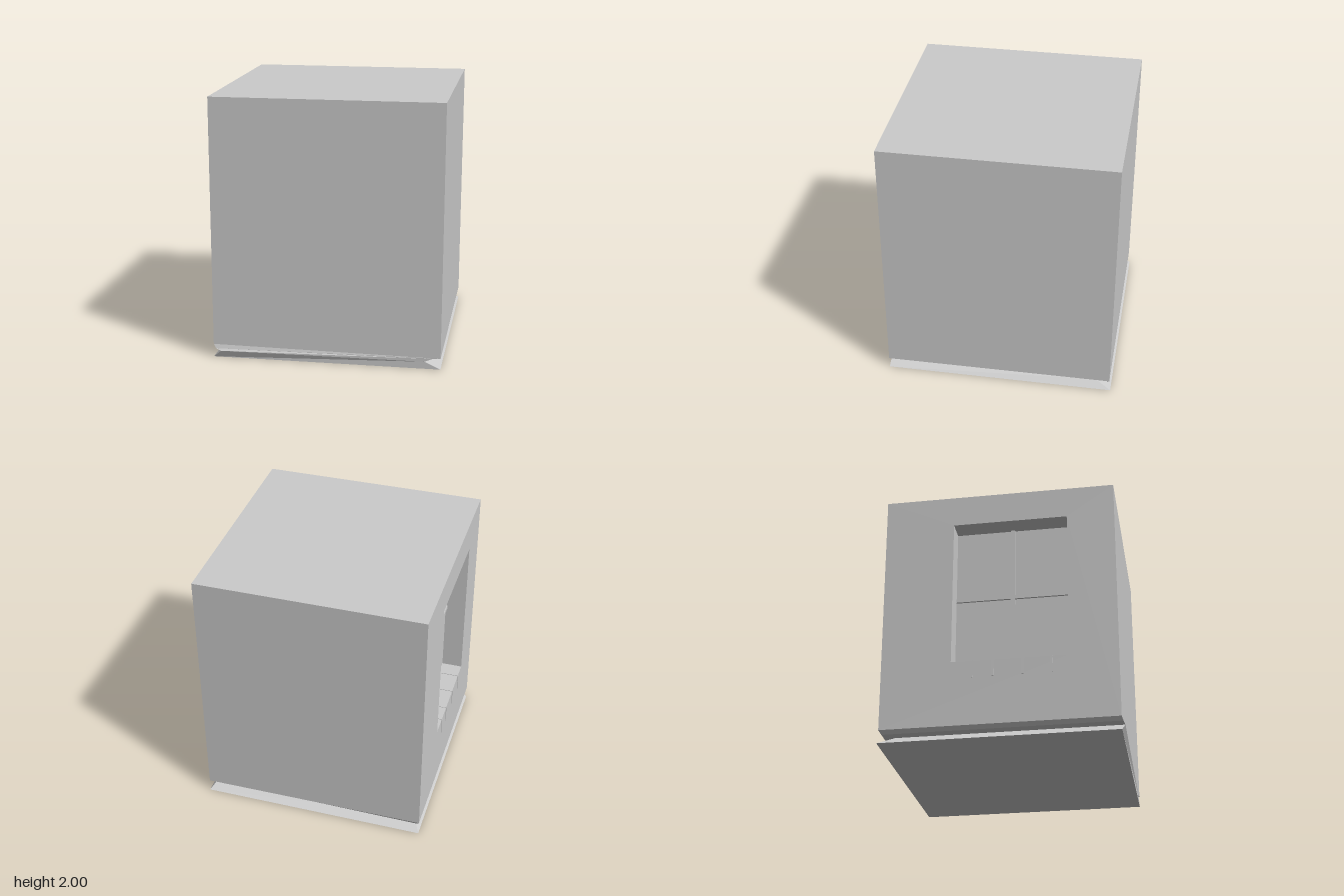
import * as THREE from 'three';

const material = new THREE.MeshStandardMaterial({ color: 0xcccccc, flatShading: true });

// Flat quads from lists of four corners, counter-clockwise from outside
function quads(list) {
  const pos = [];
  for (const [a, b, c, d] of list) pos.push(...a, ...b, ...c, ...a, ...c, ...d);
  const g = new THREE.BufferGeometry();
  g.setAttribute('position', new THREE.Float32BufferAttribute(pos, 3));
  g.computeVertexNormals();
  return g;
}

export function createModel() {
  const model = new THREE.Group();
  const add = (name, geometry, parent = model) => {
    const mesh = new THREE.Mesh(geometry, material);
    mesh.name = name;
    parent.add(mesh);
    return mesh;
  };

  // Corner rings, bottom to top: front -x, front +x, back +x, back -x
  const rings = [
    [[-0.87, 0, 0.87], [0.86, 0, 0.87], [0.86, 0, -0.89], [-0.87, 0, -0.89]],
    [[-0.81, 0.055, 0.89], [0.74, 0.055, 0.87], [0.81, 0.055, -0.77], [-0.81, 0.055, -0.77]],
    [[-0.85, 0.07, 0.88], [0.8, 0.08, 0.87], [0.85, 0.08, -0.86], [-0.85, 0.07, -0.86]],
    [[-0.87, 0.1, 0.87], [0.86, 0.085, 0.87], [0.86, 0.09, -0.88], [-0.87, 0.1, -0.88]],
    [[-0.87, 2, 0.87], [0.87, 2, 0.87], [0.87, 2, -0.89], [-0.87, 2, -0.89]],
  ];
  const band = (k, i) => {
    const j = (i + 1) % 4;
    return [rings[k][i], rings[k][j], rings[k + 1][j], rings[k + 1][i]];
  };

  // Floor skirting and the groove under the walls
  const skirt = [];
  for (let k = 0; k < 3; k++) for (let i = 0; i < 4; i++) skirt.push(band(k, i));
  add('skirting', quads(skirt));
  add('floor', quads([[...rings[0]].reverse()]));
  add('frontWall', quads([band(3, 0)]));
  add('sideWall', quads([band(3, 1)]));
  add('backWall', quads([band(3, 2)]));
  add('roof', quads([rings[4]]));

  // Wall with the window opening, drawn in (z, y)
  const z0 = -0.36, z1 = 0.51, y0 = 0.6, y1 = 1.755, xOut = -0.87, xIn = -0.71;
  const corners = [[z0, y0], [z1, y0], [z1, y1], [z0, y1]];
  const toPoints = (list) => list.map(([u, v]) => new THREE.Vector2(u, v));
  const wall = new THREE.Shape(toPoints([[-0.88, 0.1], [0.87, 0.1], [0.87, 2], [-0.89, 2]]));
  wall.holes.push(new THREE.Path(toPoints(corners)));
  add('windowWall', new THREE.ShapeGeometry(wall).rotateY(-Math.PI / 2).translate(xOut, 0, 0));

  // Recessed window: reveal, pane, glazing bars and sill joints
  const win = new THREE.Group();
  win.name = 'window';
  model.add(win);
  const at = (x, [z, y]) => [x, y, z];
  add('reveal', quads(corners.map((c, i) => {
    const n = corners[(i + 1) % 4];
    return [at(xOut, c), at(xOut, n), at(xIn, n), at(xIn, c)];
  })), win);
  add('pane', quads([corners.map((c) => at(xIn, c))]), win);

  const zc = (z0 + z1) / 2, yc = (y0 + y1) / 2;
  add('verticalBar', new THREE.BoxGeometry(0.03, y1 - y0, 0.03), win).position.set(xIn, yc, zc);
  add('horizontalBar', new THREE.BoxGeometry(0.03, 0.03, z1 - z0), win).position.set(xIn, yc, zc);

  for (const z of [-0.2, -0.05, 0.17, 0.38]) {
    add('sillJoint', new THREE.BoxGeometry(xIn - xOut + 0.004, 0.135, 0.012), win)
      .position.set((xIn + xOut) / 2 - 0.002, y0 - 0.0635, z);
  }
  return model;
}
